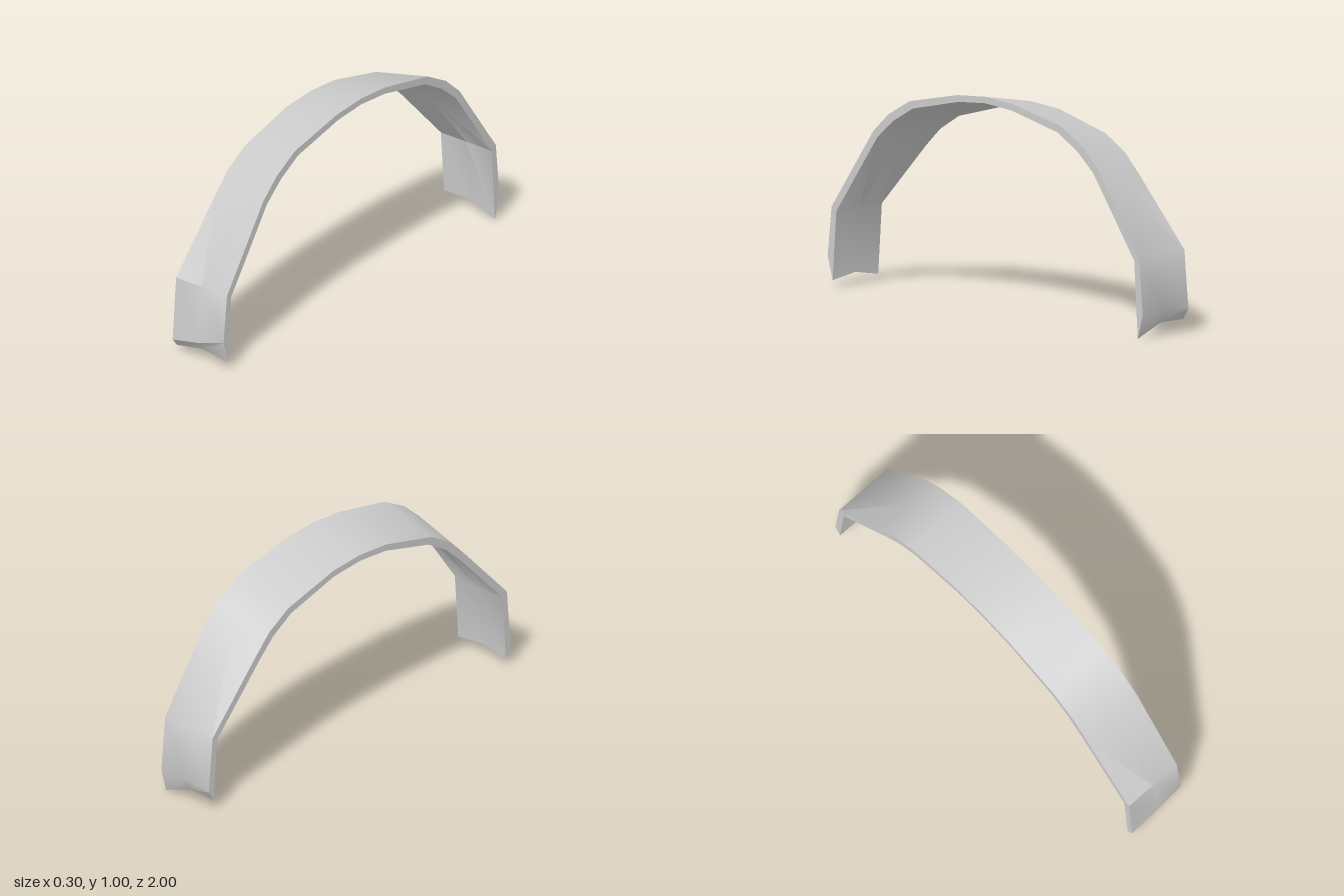
import * as THREE from 'three';
import { toCreasedNormals } from 'three/addons/utils/BufferGeometryUtils.js';

const HALF_WIDTH = 0.149;

// Half of the arch from its crown down to the knee.
// Each station: outer z, y and inner z, y on the +x edge, then the z, y shift of the -x edge.
const stations = [
  [0, 1.005, 0, 0.975, 0, -0.057],
  [0.175, 0.992, 0.17, 0.961, 0, -0.057],
  [0.48, 0.927, 0.46, 0.895, -0.005, -0.07],
  [0.612, 0.852, 0.585, 0.822, -0.012, -0.07],
  [0.71, 0.762, 0.685, 0.735, -0.022, -0.07],
  [0.975, 0.38, 0.945, 0.362, 0, 0],
];

// Heights of the cut ends at x = -, 0, +
const frontEnd = { outer: [0.073, 0.103, 0.15], inner: [0.033, 0.06, 0.04] };
const backEnd = { outer: [0.11, 0.126, 0.117], inner: [0.058, 0.06, 0.002] };

// Ring order: outer face from -x to +x, then inner face from +x to -x
const columns = [-1, 0, 1];
function stationRing([oz, oy, iz, iy, dz, dy], side) {
  const at = (c, z, y) => {
    const t = (1 - c) / 2;
    return [c * HALF_WIDTH, y + dy * t, side * (z + dz * t)];
  };
  return [
    ...columns.map((c) => at(c, oz, oy)),
    ...[...columns].reverse().map((c) => at(c, iz, iy)),
  ];
}
function endRing(end, side) {
  return [
    ...columns.map((c, i) => [c * HALF_WIDTH, end.outer[i], side]),
    ...[...columns].reverse().map((c, i) => [c * HALF_WIDTH, end.inner[2 - i], side * 0.968]),
  ];
}

function bandGeometry() {
  // Rings run from the back end over the crown to the front end
  const rings = [
    endRing(backEnd, -1),
    ...stations.slice(1).reverse().map((s) => stationRing(s, -1)),
    ...stations.map((s) => stationRing(s, 1)),
    endRing(frontEnd, 1),
  ];
  const n = 6;
  const index = [];
  const quad = (a, b, c, d) => index.push(a, b, c, a, c, d);
  for (let r = 0; r < rings.length - 1; r++) {
    for (let k = 0; k < n; k++) {
      const k2 = (k + 1) % n;
      quad(r * n + k, (r + 1) * n + k, (r + 1) * n + k2, r * n + k2);
    }
  }
  // Notched end faces
  const f = (rings.length - 1) * n;
  quad(0, 1, 4, 5);
  quad(1, 2, 3, 4);
  quad(f + 5, f + 4, f + 1, f);
  quad(f + 4, f + 3, f + 2, f + 1);

  const geometry = new THREE.BufferGeometry();
  geometry.setAttribute('position', new THREE.Float32BufferAttribute(rings.flat(2), 3));
  geometry.setIndex(index);
  return toCreasedNormals(geometry, THREE.MathUtils.degToRad(35));
}

export function createModel() {
  const group = new THREE.Group();
  group.name = 'archBand';
  const grey = new THREE.MeshStandardMaterial({ color: 0xcccccc });
  grey.name = 'light grey';
  const band = new THREE.Mesh(bandGeometry(), grey);
  band.name = 'curvedBand';
  group.add(band);
  return group;
}
